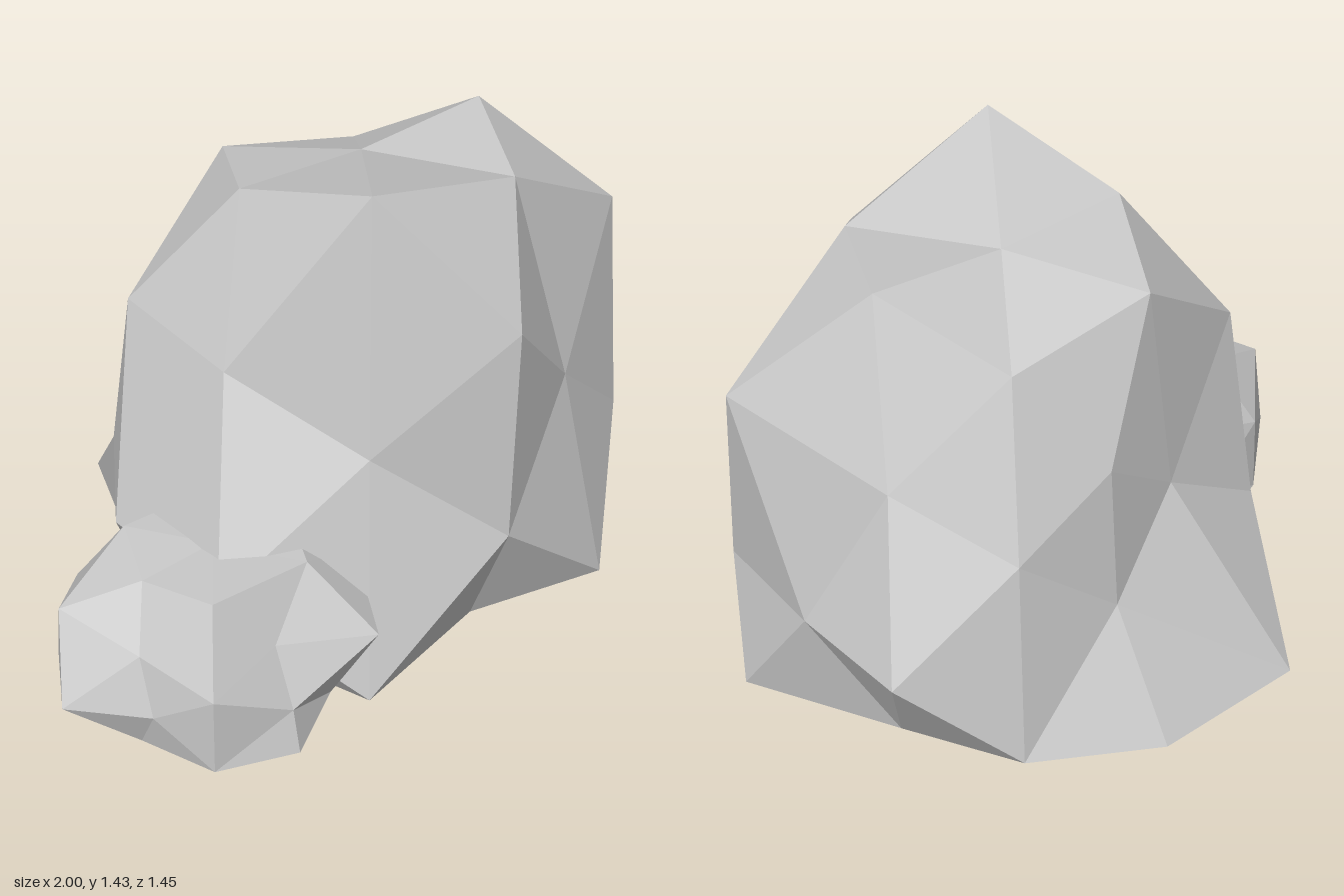
import * as THREE from 'three';

// Reach of each rock corner, from the crown down to the ground, row by row.
// Within a row: front to back, then from -x to +x. Missing corners use 1.
const BOULDER = [
  0.82,
  0.98, 1.0,
  1.18, 1.01, 0.94, 0.835,
  1.15, 0.75,
  0.955, 1.13, 0.99, 0.82,
  0.89, 0.875, 0.68, 0.775,
  0.97, 1.2, 1.0, 1.06, 0.875, 0.925, 1.01, 0.68,
  1.175, 1.08, 1.2, 0.94,
  1.0, 1.16, 1.0, 0.81,
  0.9, 1.16,
];
const STONE = [
  0.8,
  0.88, 0.95,
  1.0, 1.0, 0.97, 0.97,
  0.77, 0.91,
  0.78, 0.96, 1.02, 0.9,
  0.95, 1.09, 0.94, 0.9,
  0.84, 0.76, 0.72, 1.0, 0.8, 0.9, 0.9, 0.9,
  0.94, 0.78, 0.95, 0.9,
  0.79, 0.8, 0.79, 0.8,
  1.07, 1.17,
];

// Faceted ball, pushed in and out per corner, stretched, and cut flat at the ground
function makeRock(name, reach, center, size, material) {
  const geometry = new THREE.IcosahedronGeometry(1, 1);
  const pos = geometry.attributes.position;
  const keyOf = (v) => v.toArray().map((n) => Math.round(n * 1000) + 0).join();

  // Distinct corners, sorted by height, then depth, then width
  const keys = new Set();
  const v = new THREE.Vector3();
  for (let i = 0; i < pos.count; i++) keys.add(keyOf(v.fromBufferAttribute(pos, i)));
  const order = [...keys]
    .map((key) => ({ key, p: key.split(',').map(Number) }))
    .sort((a, b) => b.p[1] - a.p[1] || b.p[2] - a.p[2] || a.p[0] - b.p[0]);
  const scale = new Map(order.map((corner, i) => [corner.key, reach[i] ?? 1]));

  for (let i = 0; i < pos.count; i++) {
    v.fromBufferAttribute(pos, i);
    v.multiplyScalar(scale.get(keyOf(v))).multiply(size).add(center);
    pos.setXYZ(i, v.x, Math.max(0, v.y), v.z);
  }
  geometry.computeVertexNormals();
  const mesh = new THREE.Mesh(geometry, material);
  mesh.name = name;
  return mesh;
}

export function createModel() {
  const group = new THREE.Group();
  group.name = 'rocks';
  const stoneGrey = new THREE.MeshStandardMaterial({ color: 0xc8c8c8, flatShading: true });
  stoneGrey.name = 'stone grey';

  group.add(
    makeRock('largeBoulder', BOULDER,
      new THREE.Vector3(0.25, 0.37, -0.02), new THREE.Vector3(0.8, 1.115, 0.72), stoneGrey),
    makeRock('smallStone', STONE,
      new THREE.Vector3(-0.5, 0.13, 0.32), new THREE.Vector3(0.5, 0.42, 0.44), stoneGrey),
  );
  return group;
}
